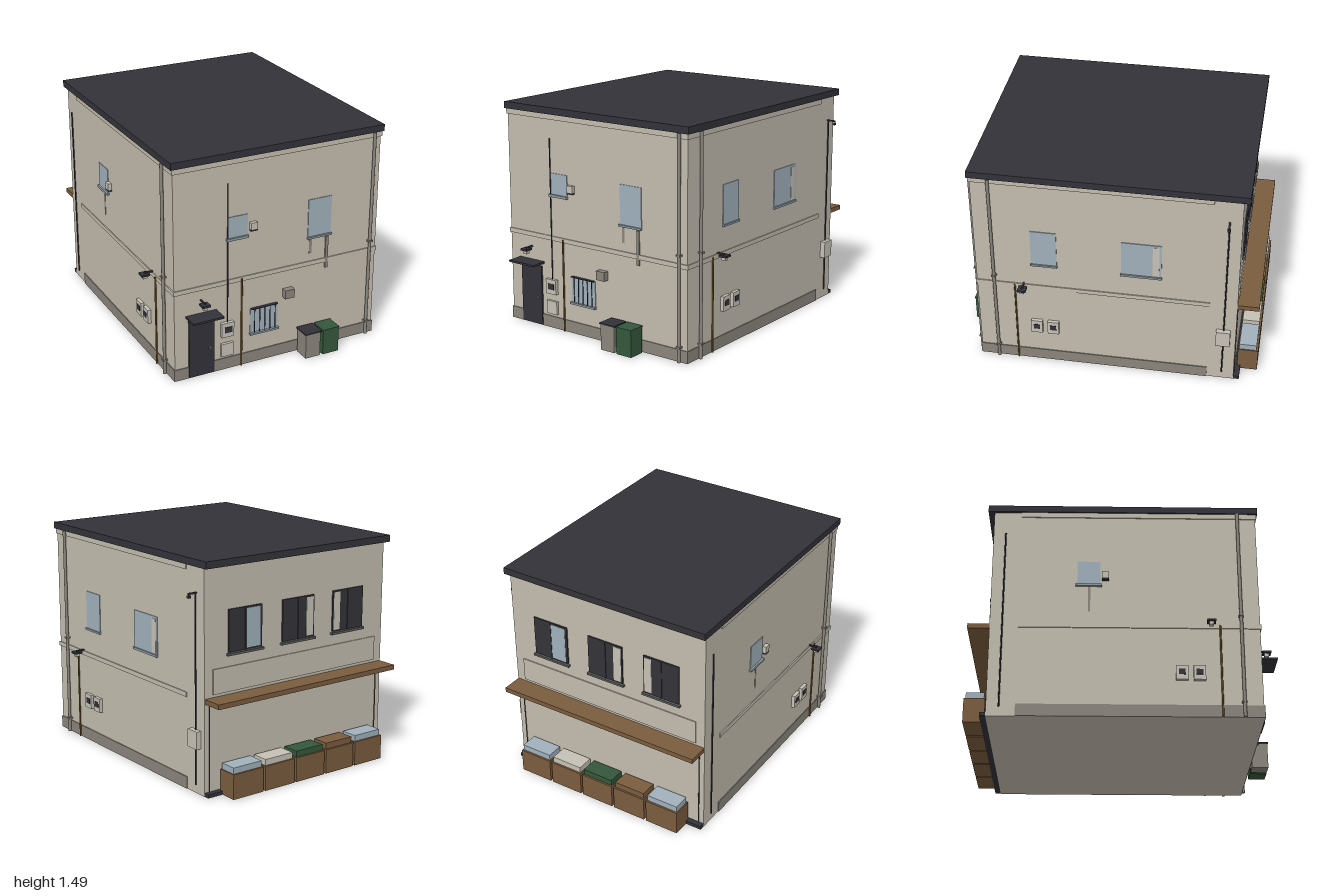
import * as THREE from 'three';

const mat = (name, color) => {
  const m = new THREE.MeshStandardMaterial({ color });
  m.name = name;
  return m;
};

export function createModel() {
  const g = new THREE.Group();
  g.name = 'house';
  const wall = mat('plaster', 0xc3bcae), grey = mat('concreteGrey', 0x8a857c), dark = mat('charcoal', 0x333239);
  const glass = mat('paleBlueGlass', 0xa0b0bb), sillMat = mat('blueGreySill', 0x8f9aa2), brown = mat('wood', 0x7a5c3d);
  const brass = mat('oldBrass', 0x6e5420), green = mat('binGreen', 0x34573b), pale = mat('palePlaster', 0xc6c1b5);
  const darkSill = mat('darkSill', 0x5c5b5c);

  const X = 0.733, F = 0.865, B = -0.85; // wall faces

  const box = (name, m, x0, x1, y0, y1, z0, z1) => {
    const mesh = new THREE.Mesh(new THREE.BoxGeometry(Math.abs(x1 - x0), y1 - y0, Math.abs(z1 - z0)), m);
    mesh.position.set((x0 + x1) / 2, (y0 + y1) / 2, (z0 + z1) / 2);
    mesh.name = name;
    g.add(mesh);
  };
  // Boxes standing out from the front, back (-z) or a side (s = 1 or -1) wall
  const front = (name, m, x0, x1, y0, y1, d, off = 0) => box(name, m, x0, x1, y0, y1, F + off, F + d);
  const back = (name, m, x0, x1, y0, y1, d, off = 0) => box(name, m, x0, x1, y0, y1, B - off, B - d);
  const side = (name, m, s, z0, z1, y0, y1, d, off = 0) => box(name, m, s * (X + off), s * (X + d), y0, y1, z0, z1);
  const pipe = (name, m, x, z, y0, y1, r) => {
    const mesh = new THREE.Mesh(new THREE.CylinderGeometry(r, r, y1 - y0, 10), m);
    mesh.position.set(x, (y0 + y1) / 2, z);
    mesh.name = name;
    g.add(mesh);
  };

  // Shell
  box('walls', wall, -X, X, 0, 1.45, B, F);
  box('roof', dark, -0.75, 0.75, 1.445, 1.49, -0.89, 0.88);

  // Plinth and horizontal bands
  front('plinthFront', grey, -X, X, 0, 0.08, 0.006);
  front('midBandFront', wall, -X, X, 0.605, 0.635, 0.007);
  front('topBandFront', wall, -X, X, 1.41, 1.445, 0.007);
  for (const s of [1, -1]) {
    side('plinthSide', grey, s, -0.67, F + 0.006, 0, 0.08, 0.006);
    side('midBandSide', wall, s, -0.67, F + 0.007, 0.605, 0.635, 0.007);
    side('topBandSide', wall, s, -0.67, F + 0.007, 1.41, 1.445, 0.007);
  }

  // Downpipes with collars
  for (const [x, z] of [[0.68, F + 0.016], [X + 0.016, 0.745], [-X - 0.016, 0.745]]) {
    pipe('downpipe', grey, x, z, 0, 1.445, 0.011);
    for (const y of [0.1, 0.69]) box('pipeCollar', grey, x - 0.016, x + 0.016, y - 0.005, y + 0.005, z - 0.016, z + 0.014);
  }

  // Front door with handle, canopy and lamp
  front('door', dark, -0.637, -0.46, 0.004, 0.412, 0.012);
  front('doorHandle', grey, -0.497, -0.483, 0.185, 0.197, 0.025, 0.01);
  front('doorCanopy', dark, -0.655, -0.44, 0.433, 0.446, 0.112);
  front('doorLampArm', dark, -0.553, -0.543, 0.53, 0.54, 0.06);
  front('doorLampShade', dark, -0.575, -0.521, 0.519, 0.533, 0.085, 0.03);
  front('doorLamp', pale, -0.561, -0.535, 0.495, 0.519, 0.07, 0.042);

  // Front meter boxes, conduit and brass pole
  front('meterBox', pale, -0.412, -0.325, 0.24, 0.34, 0.024);
  front('meterWindow', dark, -0.392, -0.34, 0.272, 0.312, 0.027, 0.02);
  front('lowerMeterBox', pale, -0.412, -0.325, 0.1, 0.19, 0.018);
  pipe('frontConduit', dark, -0.365, F + 0.008, 0.34, 1.29, 0.004);
  pipe('frontBrassPole', brass, -0.265, F + 0.01, 0, 0.625, 0.006);

  // Front windows
  front('smallWindow', glass, -0.362, -0.225, 0.915, 1.06, 0.005);
  front('smallSill', sillMat, -0.375, -0.222, 0.903, 0.92, 0.018);
  front('tallWindow', glass, 0.212, 0.382, 0.805, 1.067, 0.005);
  front('tallSill', sillMat, 0.207, 0.385, 0.797, 0.81, 0.018);
  front('stain', grey, 0.225, 0.245, 0.69, 0.79, 0.002);
  front('stain', grey, 0.345, 0.365, 0.565, 0.79, 0.009);
  front('barredWindow', glass, -0.2, 0, 0.21, 0.39, 0.005);
  front('barredSill', sillMat, -0.205, 0.005, 0.205, 0.218, 0.022);
  front('barRail', dark, -0.195, -0.005, 0.388, 0.394, 0.02);
  for (let i = 0; i < 5; i++) pipe('windowBar', dark, -0.172 + i * 0.0375, F + 0.014, 0.218, 0.39, 0.0028);

  // Small wall boxes and bins
  front('ventBoxTop', pale, -0.21, -0.165, 0.955, 1.0, 0.025);
  front('ventBoxBase', dark, -0.21, -0.165, 0.944, 0.955, 0.025);
  front('ventBoxLow', grey, 0.037, 0.105, 0.42, 0.48, 0.04);
  box('greyBin', grey, 0.147, 0.255, 0, 0.172, 0.885, 0.995);
  box('greyBinLid', dark, 0.14, 0.262, 0.172, 0.181, 0.88, 1.0);
  box('greenBin', green, 0.275, 0.393, 0, 0.174, 0.885, 0.997);
  box('greenBinLid', green, 0.272, 0.396, 0.174, 0.181, 0.88, 1.0);

  // Equipment shared by both sides
  for (const s of [1, -1]) {
    for (const z of [0.362, 0.472]) {
      side('sideMeterBox', pale, s, z - 0.038, z + 0.038, 0.245, 0.342, 0.024);
      side('sideMeterWindow', dark, s, z - 0.021, z + 0.021, 0.278, 0.315, 0.027, 0.02);
    }
    pipe('sideBrassPole', brass, s * (X + 0.01), 0.61, 0, 0.625, 0.006);
    side('sideLampArm', dark, s, 0.545, 0.557, 0.635, 0.645, 0.06);
    side('sideLampShade', dark, s, 0.523, 0.579, 0.624, 0.637, 0.085, 0.03);
    side('sideLamp', pale, s, 0.537, 0.565, 0.603, 0.624, 0.073, 0.042);
    pipe('sideConduit', dark, s * (X + 0.008), -0.77, 0.06, 1.285, 0.005);
  }
  side('conduitElbow', dark, 1, -0.776, -0.764, 1.277, 1.287, 0.06);
  side('conduitSpout', dark, 1, -0.78, -0.76, 1.255, 1.272, 0.063, 0.047);
  side('junctionBox', pale, 1, -0.815, -0.722, 0.305, 0.42, 0.035);

  // Right side windows
  side('narrowWindow', glass, 1, 0.325, 0.495, 0.805, 1.067, 0.005);
  side('narrowSill', sillMat, 1, 0.322, 0.498, 0.797, 0.81, 0.015);
  side('wideWindow', glass, 1, -0.355, -0.093, 0.8, 1.05, 0.005);
  side('wideCurtain', pale, 1, -0.34, -0.297, 0.81, 1.035, 0.007);
  side('wideSill', sillMat, 1, -0.358, -0.09, 0.788, 0.803, 0.015);

  // Left side window
  side('leftWindow', glass, -1, -0.3, -0.15, 0.915, 1.08, 0.005);
  side('leftSill', sillMat, -1, -0.31, -0.14, 0.9, 0.915, 0.018);
  side('leftVentBox', pale, -1, -0.14, -0.095, 0.955, 1.0, 0.025);
  side('leftVentBase', dark, -1, -0.14, -0.095, 0.944, 0.955, 0.025);
  side('leftStain', grey, -1, -0.23, -0.215, 0.72, 0.9, 0.002);

  // Back windows: dark frames with one lighter pane each
  for (const [x, m, p0, p1] of [[0.425, glass, 0.31, 0.42], [0, pale, -0.122, -0.065], [-0.42, pale, -0.35, -0.297]]) {
    back('backWindow', dark, x - 0.13, x + 0.13, 0.9, 1.17, 0.01);
    back('backPane', m, p0, p1, 0.91, 1.16, 0.012, 0.005);
    back('backMullion', dark, x - 0.006, x + 0.006, 0.9, 1.17, 0.015);
    back('backSill', darkSill, x - 0.14, x + 0.14, 0.88, 0.895, 0.02);
  }

  // Back panel, canopy, ground strip and thin conduits
  back('backPanel', wall, -0.67, 0.67, 0.65, 0.81, 0.007);
  back('backCanopy', brown, -0.73, 0.73, 0.6, 0.632, 0.14);
  back('groundStrip', dark, -X, X, 0.002, 0.025, 0.038);
  for (const s of [1, -1]) pipe('backConduit', dark, s * 0.695, B, 0.02, 0.6, 0.004);

  // Row of crates with lids
  [glass, brown, green, pale, glass].forEach((m, i) => {
    const x = (i - 2) * 0.252;
    box('crate', brown, x - 0.118, x + 0.118, 0.002, 0.165, -1, -0.865);
    box('crateLid', m, x - 0.11, x + 0.11, 0.165, 0.205, -0.988, -0.872);
  });
  return g;
}
